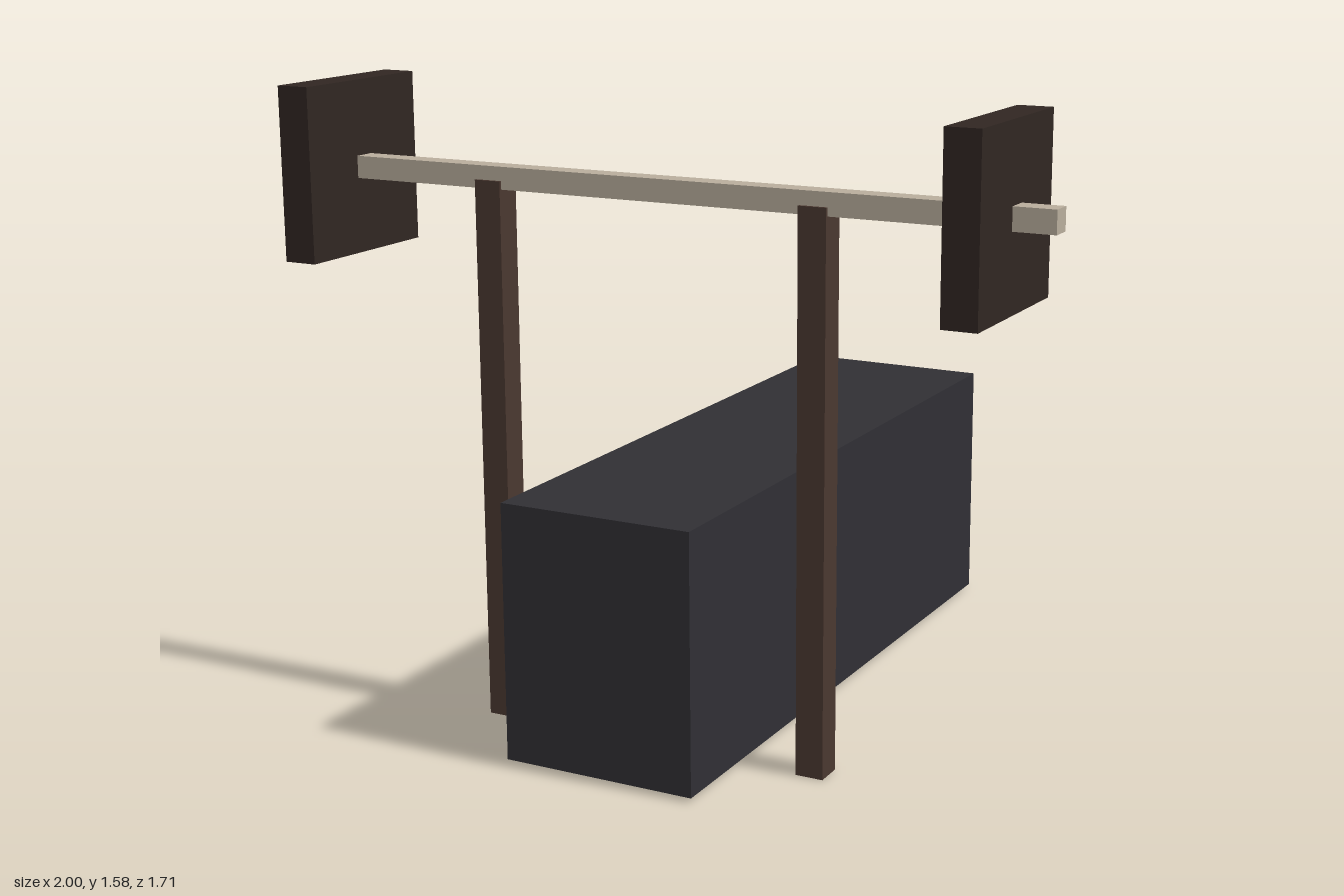
import * as THREE from 'three';

const material = (color) => new THREE.MeshStandardMaterial({ color, flatShading: true });

function box(name, size, position, mat) {
  const mesh = new THREE.Mesh(new THREE.BoxGeometry(...size), mat);
  mesh.name = name;
  mesh.position.set(...position);
  return mesh;
}

export function createModel() {
  const model = new THREE.Group();
  model.name = 'weightBench';
  const padMat = material(0x302f34);
  const barMat = material(0xb8ad9c);
  const postMat = material(0x4a3830);
  const plateMat = material(0x302622);
  const rackZ = 0.57;
  const barY = 1.367;

  // Bench block, just clear of the ground
  model.add(box('bench', [0.5, 0.64, 1.71], [0, 0.33, 0], padMat));

  // Square bar across the rack
  model.add(box('bar', [2, 0.055, 0.055], [0, barY, rackZ], barMat));

  // Mirrored uprights and square weight plates
  for (const [side, s] of [['left', 1], ['right', -1]]) {
    model.add(box(side + 'Post', [0.07, 1.36, 0.07], [s * 0.43, 0.68, rackZ], postMat));
    model.add(box(side + 'Plate', [0.085, 0.427, 0.427], [s * 0.857, barY, rackZ], plateMat));
  }
  return model;
}
